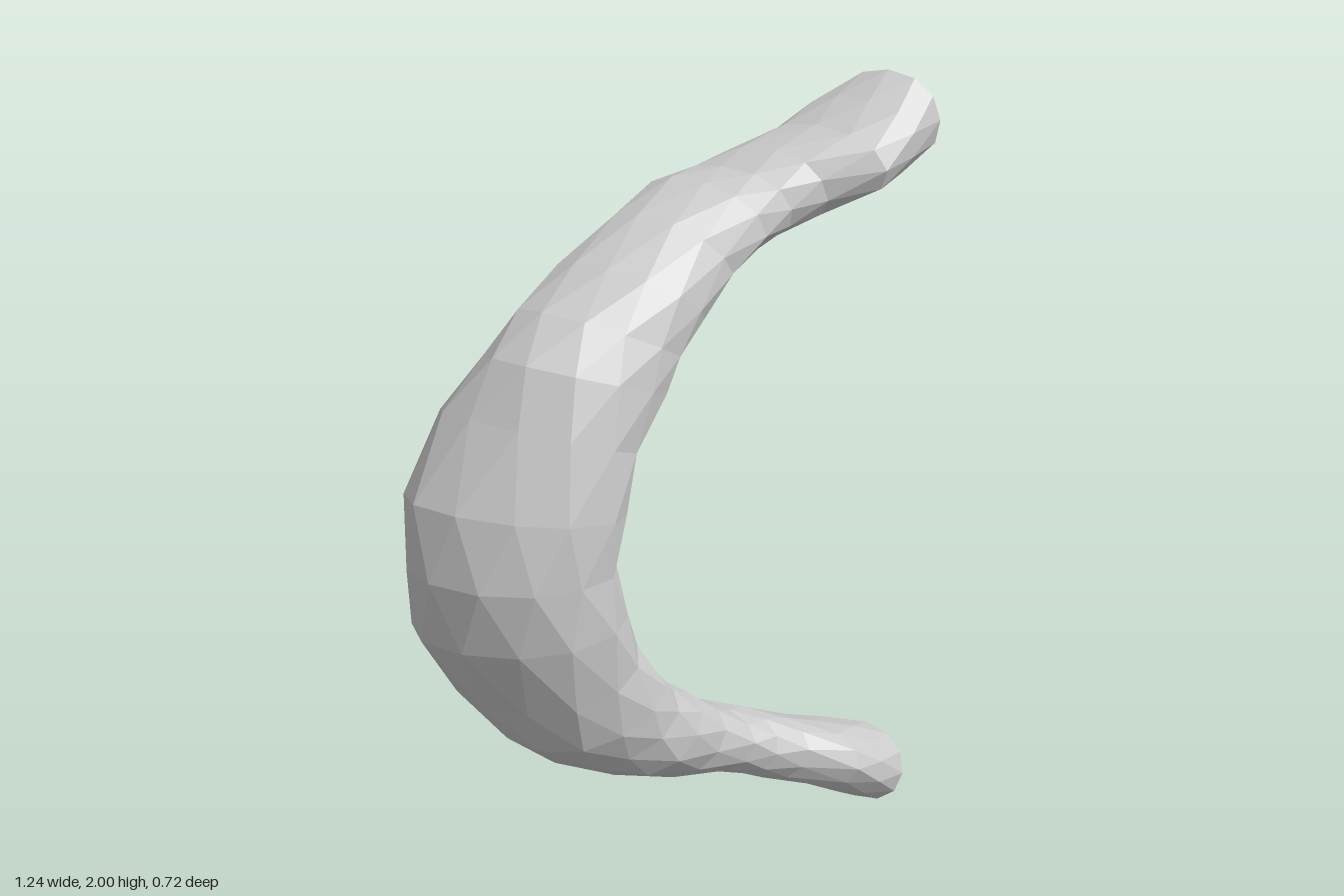
import * as THREE from 'three';

const SIDES = 12;

// Upper half, from the middle of the bow to the tip:
// outer edge x, y, inner edge x, y, back z, front z
const STATIONS = [
  [-0.62, 1.00, -0.28, 1.00, -0.355, 0.10],
  [-0.595, 1.17, -0.24, 1.12, -0.36, 0.10],
  [-0.50, 1.36, -0.19, 1.24, -0.33, 0.105],
  [-0.42, 1.48, -0.11, 1.36, -0.265, 0.11],
  [-0.32, 1.57, -0.05, 1.42, -0.24, 0.11],
  [-0.19, 1.65, 0.03, 1.49, -0.215, 0.12],
  [-0.02, 1.73, 0.12, 1.56, -0.20, 0.12],
  [0.14, 1.785, 0.20, 1.61, -0.18, 0.14],
  [0.21, 1.81, 0.27, 1.64, -0.135, 0.175],
  [0.29, 1.845, 0.34, 1.675, -0.08, 0.22],
  [0.39, 1.89, 0.43, 1.715, -0.01, 0.32],
  [0.48, 1.945, 0.52, 1.75, 0.035, 0.345],
  [0.57, 2.00, 0.615, 1.785, 0.095, 0.36],
];
const TIP = STATIONS.length - 1;

// Slightly squared oval
const soften = (v) => Math.sign(v) * Math.pow(Math.abs(v), 0.92);

// One cross-section; odd rings are turned half a step for triangular facets
function makeRing(station, index, mirrored) {
  const [ox, oy, ix, iy, zb, zf] = station;
  const odd = index % 2;
  // The oval leans backward on the outside of the bow, upright at the tips
  const lean = 0.38 * (1 - index / TIP);
  const ring = [];
  for (let j = 0; j < SIDES; j++) {
    const step = j + odd * 0.5;
    const a = (step / SIDES) * Math.PI * 2;
    // Small uneven bumps, none on the cut ends
    const r = index === TIP ? 1 : 1.005 + odd * 0.015 + 0.025 * Math.sin(index * 5.3 + step * 7.9);
    const u = soften(Math.cos(a)) * r;
    const w = soften(Math.sin(a - lean)) * r;
    const x = (ox + ix) / 2 + (u * (ox - ix)) / 2;
    const y = (oy + iy) / 2 + (u * (oy - iy)) / 2;
    const z = (zf + zb) / 2 + (w * (zf - zb)) / 2;
    ring.push(new THREE.Vector3(x, mirrored ? 2 - y : y, z));
  }
  return ring;
}

function meshFrom(triangles, name) {
  const geometry = new THREE.BufferGeometry().setFromPoints(triangles);
  geometry.computeVertexNormals();
  const material = new THREE.MeshStandardMaterial({ color: 0xcccccc, flatShading: true });
  const mesh = new THREE.Mesh(geometry, material);
  mesh.name = name;
  return mesh;
}

// Flat cut end
function makeCap(ring, reversed, name) {
  const center = new THREE.Vector3();
  ring.forEach((p) => center.addScaledVector(p, 1 / SIDES));
  const triangles = [];
  ring.forEach((p, j) => {
    const q = ring[(j + 1) % SIDES];
    triangles.push(center, ...(reversed ? [q, p] : [p, q]));
  });
  return meshFrom(triangles, name);
}

export function createModel() {
  const group = new THREE.Group();
  group.name = 'curvedBranch';

  // Rings from the lower tip to the upper tip
  const upper = STATIONS.map((s, i) => makeRing(s, i, false));
  const lower = STATIONS.map((s, i) => makeRing(s, i, true)).slice(1).reverse();
  const rings = [...lower, ...upper];

  // Faceted skin
  const skin = [];
  for (let i = 0; i < rings.length - 1; i++) {
    for (let j = 0; j < SIDES; j++) {
      const k = (j + 1) % SIDES;
      const a = rings[i][j], b = rings[i][k];
      const c = rings[i + 1][j], d = rings[i + 1][k];
      if (i % 2 === 0) skin.push(a, b, c, b, d, c);
      else skin.push(a, d, c, a, b, d);
    }
  }
  group.add(meshFrom(skin, 'bowedStem'));

  group.add(makeCap(rings[0], true, 'lowerCutEnd'));
  group.add(makeCap(rings[rings.length - 1], false, 'upperCutEnd'));
  return group;
}
